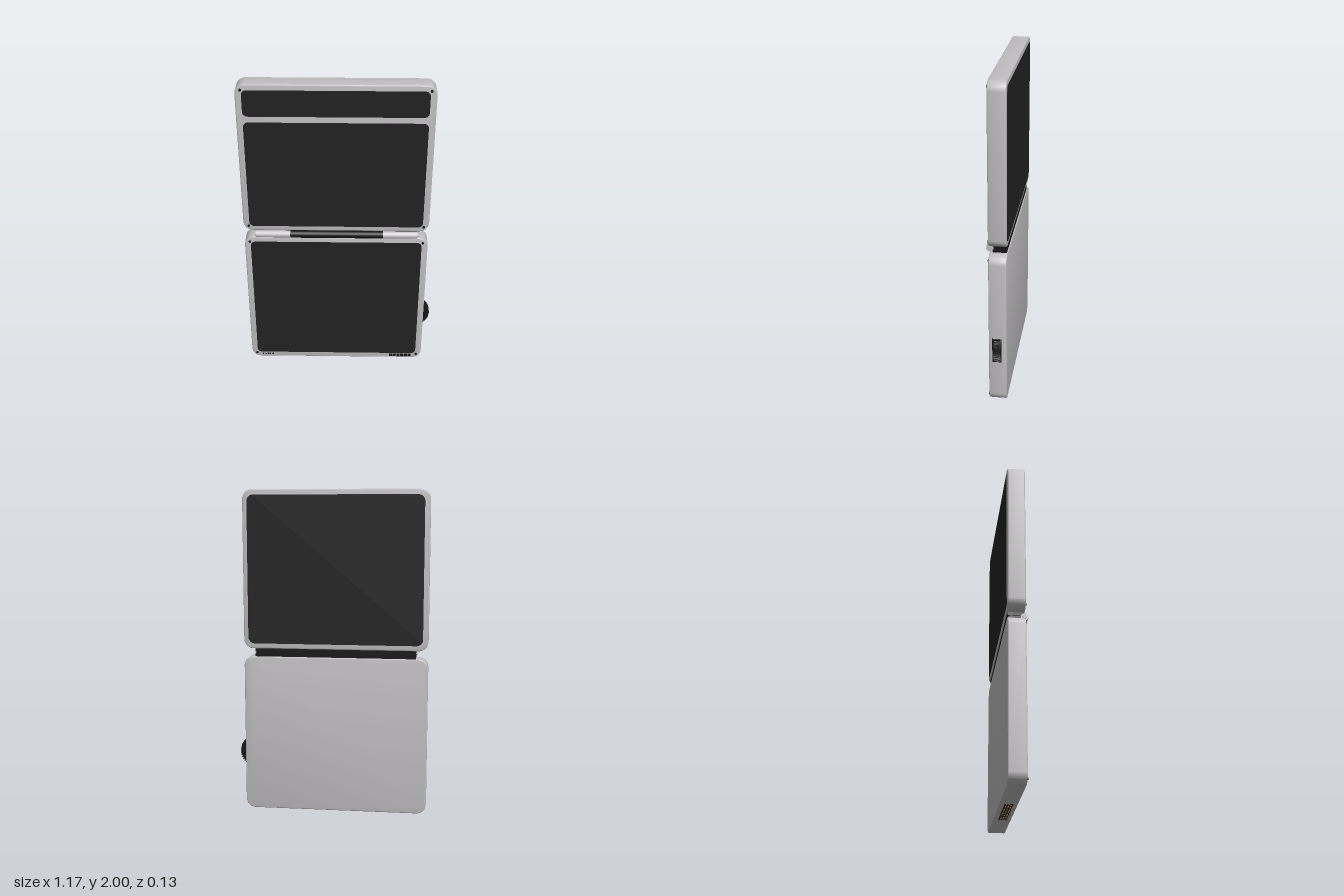
import * as THREE from 'three';
import { toCreasedNormals } from 'three/addons/utils/BufferGeometryUtils.js';

const mat = (name, color) => new THREE.MeshStandardMaterial({ name, color });

export function createModel() {
  const model = new THREE.Group();
  model.name = 'foldingDevice';
  const shell = mat('shellGrey', 0xc0bec0);
  const barrel = mat('barrelGrey', 0xcac6ca);
  const dark = mat('screenBlack', 0x222222);
  const black = mat('trimBlack', 0x151515);
  const gold = mat('contactGold', 0xa8873c);

  const add = (name, geometry, material, x, y, z, parent = model) => {
    const m = new THREE.Mesh(geometry, material);
    m.name = name;
    m.position.set(x, y, z);
    parent.add(m);
    return m;
  };
  const box = (name, material, x0, x1, y0, y1, z0, z1, parent) =>
    add(name, new THREE.BoxGeometry(x1 - x0, y1 - y0, z1 - z0), material,
      (x0 + x1) / 2, (y0 + y1) / 2, (z0 + z1) / 2, parent);

  const roundedRect = (x0, x1, y0, y1, r) => {
    const s = new THREE.Shape();
    s.absarc(x1 - r, y0 + r, r, -Math.PI / 2, 0);
    s.absarc(x1 - r, y1 - r, r, 0, Math.PI / 2);
    s.absarc(x0 + r, y1 - r, r, Math.PI / 2, Math.PI);
    s.absarc(x0 + r, y0 + r, r, Math.PI, Math.PI * 1.5);
    s.closePath();
    return s;
  };
  // Rounded slab between z0 and z1 with an optional softened edge
  const slab = (name, material, x0, x1, y0, y1, r, z0, z1, b = 0, parent = model) => {
    const g = new THREE.ExtrudeGeometry(roundedRect(x0 + b, x1 - b, y0 + b, y1 - b, r - b), {
      depth: z1 - z0 - 2 * b, curveSegments: 10,
      bevelEnabled: b > 0, bevelSize: b, bevelThickness: b, bevelSegments: 3,
    });
    return add(name, toCreasedNormals(g, 0.6), material, 0, 0, z0 + b, parent);
  };
  // Cylinder lying along x
  const rod = (name, material, x0, x1, r, y, z) => {
    const g = new THREE.CylinderGeometry(r, r, x1 - x0, 28);
    g.rotateZ(Math.PI / 2);
    return add(name, g, material, (x0 + x1) / 2, y, z);
  };

  // Two case halves
  slab('upperCase', shell, -0.59, 0.545, 1.03, 2.0, 0.06, -0.064, 0.041, 0.006);
  slab('lowerCase', shell, -0.59, 0.545, 0.006, 0.98, 0.06, -0.064, 0.041, 0.006);

  // Front panels and rear cover panel
  slab('topStripPanel', dark, -0.553, 0.507, 1.803, 1.965, 0.03, 0.036, 0.0425);
  slab('upperScreen', dark, -0.553, 0.507, 1.062, 1.766, 0.03, 0.036, 0.0425);
  slab('lowerScreen', dark, -0.553, 0.507, 0.045, 0.945, 0.03, 0.036, 0.0425);
  slab('rearPanel', dark, -0.557, 0.517, 1.062, 1.968, 0.04, -0.067, -0.06);

  // Corner screws
  for (const x of [-0.557, 0.512]) {
    for (const y of [0.04, 0.946, 1.064, 1.967]) {
      const g = new THREE.CylinderGeometry(0.008, 0.008, 0.008, 12);
      g.rotateX(Math.PI / 2);
      add('cornerScrew', g, black, x, y, 0.042);
    }
  }

  // Hinge barrel and the folding strips behind it
  rod('hingeBarrelRight', barrel, -0.515, -0.304, 0.022, 1.005, 0.041);
  rod('hingeBarrelLeft', barrel, 0.264, 0.475, 0.022, 1.005, 0.041);
  rod('hingeBarrelCentre', black, -0.304, 0.264, 0.0235, 1.005, 0.041);
  rod('hingePin', shell, -0.522, 0.482, 0.012, 1.005, 0.041);
  box('hingeStripUpper', black, -0.515, 0.475, 1.01, 1.032, -0.058, 0.025);
  box('hingeStripLower', black, -0.515, 0.475, 0.978, 1.001, -0.058, 0.025);
  box('hingeCore', black, -0.51, 0.47, 0.99, 1.02, -0.05, 0.025);

  // Ribbed thumb wheel set in a slot on the side
  const wheel = new THREE.Shape();
  const teeth = 44;
  for (let i = 0; i < teeth * 4; i++) {
    const a = (i / (teeth * 4)) * Math.PI * 2;
    const r = i % 4 < 2 ? 0.101 : 0.093;
    const p = [Math.cos(a) * r, Math.sin(a) * r];
    if (i) wheel.lineTo(...p); else wheel.moveTo(...p);
  }
  wheel.closePath();
  add('thumbWheel', new THREE.ExtrudeGeometry(wheel, { depth: 0.044, bevelEnabled: false }),
    black, 0.484, 0.367, -0.034);
  box('wheelSlot', black, 0.54, 0.547, 0.288, 0.447, -0.036, 0.02);

  // Small marks and indicator bars on the lower bezel
  [0.008, 0.006, 0.012, 0.006, 0.01].forEach((w, i) => {
    const x = -0.52 + i * 0.016;
    box('bezelMark', black, x, x + w, 0.023, 0.034, 0.04, 0.0425);
  });
  for (let i = 0; i < 6; i++) {
    const x = 0.332 + i * 0.025;
    box('indicatorBar', black, x, x + 0.021, 0.019, 0.038, 0.04, 0.0425);
  }

  // Connector with contact rows underneath
  box('connector', black, -0.2, 0.155, 0.001, 0.009, -0.035, 0.012);
  for (const z of [-0.026, -0.0115, 0.003]) {
    for (let i = 0; i < 20; i++) {
      const x = -0.189 + i * 0.0175;
      box('connectorContact', gold, x - 0.005, x + 0.005, 0, 0.003, z - 0.004, z + 0.004);
    }
  }
  return model;
}
